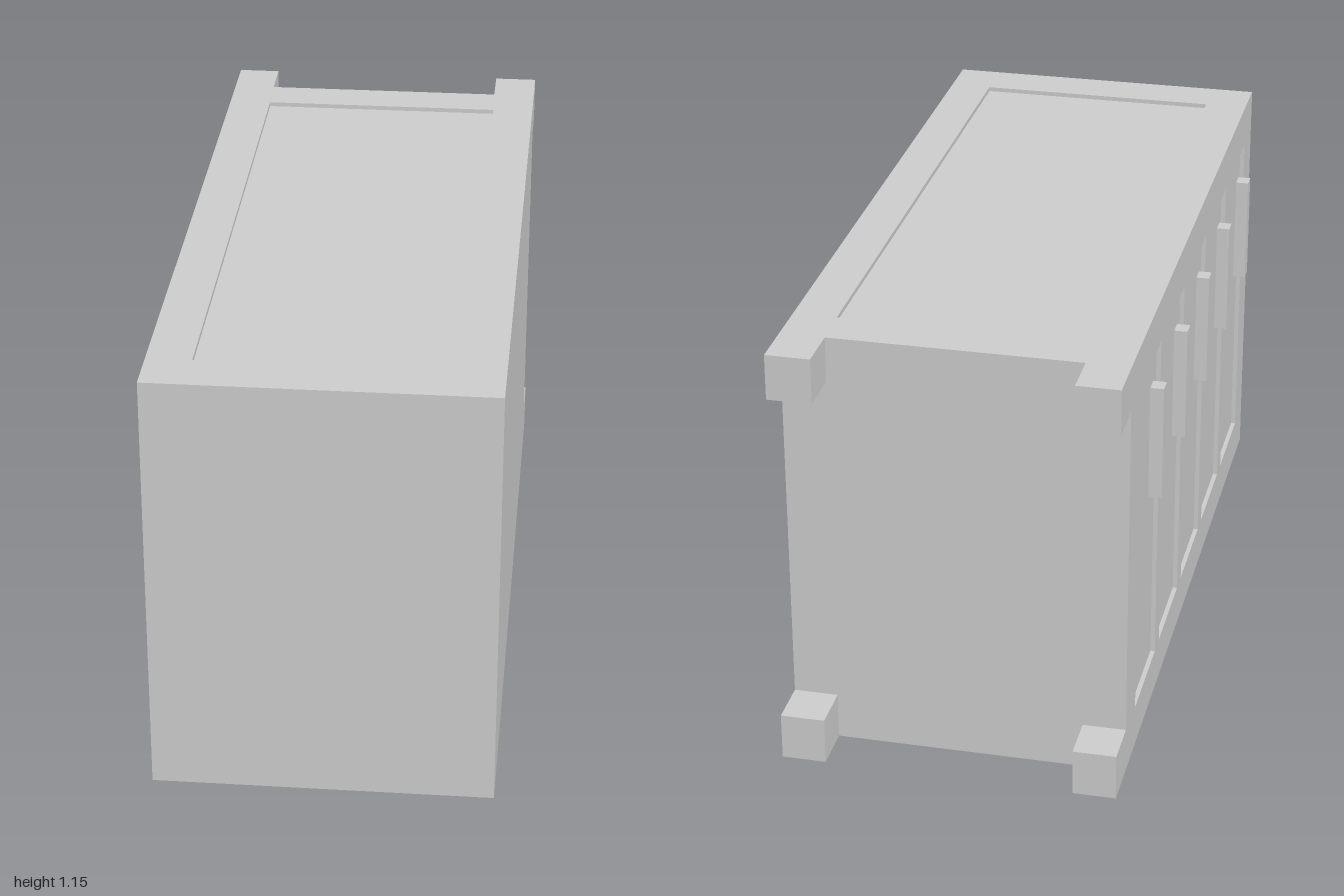
import * as THREE from 'three';

const material = new THREE.MeshStandardMaterial({ color: 0xcccccc, flatShading: true });
const X0 = -0.427, X1 = 0.447, H = 1.15, BACK = -0.875, FRONT = 1;
const RECESS = 0.012;

function add(parent, name, geometry) {
  const mesh = new THREE.Mesh(geometry, material);
  mesh.name = name;
  parent.add(mesh);
  return mesh;
}

// Box given by its minimum and maximum on each axis
function block(parent, name, x0, x1, y0, y1, z0, z1) {
  const mesh = add(parent, name, new THREE.BoxGeometry(x1 - x0, y1 - y0, z1 - z0));
  mesh.position.set((x0 + x1) / 2, (y0 + y1) / 2, (z0 + z1) / 2);
  return mesh;
}

function rect(Type, [u0, u1, v0, v1]) {
  return new Type([[u0, v0], [u1, v0], [u1, v1], [u0, v1]].map(([u, v]) => new THREE.Vector2(u, v)));
}

// Thin plate with rectangular openings
function frame(outer, openings) {
  const shape = rect(THREE.Shape, outer);
  shape.holes = openings.map((o) => rect(THREE.Path, o));
  return new THREE.ExtrudeGeometry(shape, { depth: RECESS, bevelEnabled: false });
}

export function createModel() {
  const group = new THREE.Group();

  // Solid body; its top, bottom and door side form the recessed panels
  block(group, 'body', X0 + RECESS, X1, RECESS, H - RECESS, BACK, FRONT);

  // Top and bottom borders around the recessed panels
  for (const [name, y] of [['topFrame', H - RECESS], ['bottomFrame', 0]]) {
    const geometry = frame([X0, X1, -FRONT, -BACK], [[-0.312, 0.335, -0.872, 0.758]]);
    add(group, name, geometry.rotateX(-Math.PI / 2)).position.y = y;
  }

  // Door side: five recessed doors, each with a vertical handle
  const doors = [], handles = new THREE.Group();
  handles.name = 'handles';
  for (let i = 0; i < 5; i++) {
    const z = -0.75 + i * 0.338;
    doors.push([z, z + 0.28, 0.115, 1.03]);
    const h = -0.55 + i * 0.3425;
    block(handles, 'handle', -0.45, X0 + RECESS, i === 4 ? 0.635 : 0.625, 0.935, h, h + 0.042);
  }
  const doorFrame = frame([BACK, FRONT, RECESS, H - RECESS], doors).rotateY(-Math.PI / 2);
  add(group, 'doorFrame', doorFrame).position.x = X0 + RECESS;
  group.add(handles);

  // Four feet projecting from the back corners
  for (const [x0, x1] of [[X0, -0.315], [0.332, X1]]) {
    block(group, 'lowerFoot', x0, x1, 0, 0.125, -1, BACK);
    block(group, 'upperFoot', x0, x1, 1.03, H, -1, BACK);
  }
  return group;
}
